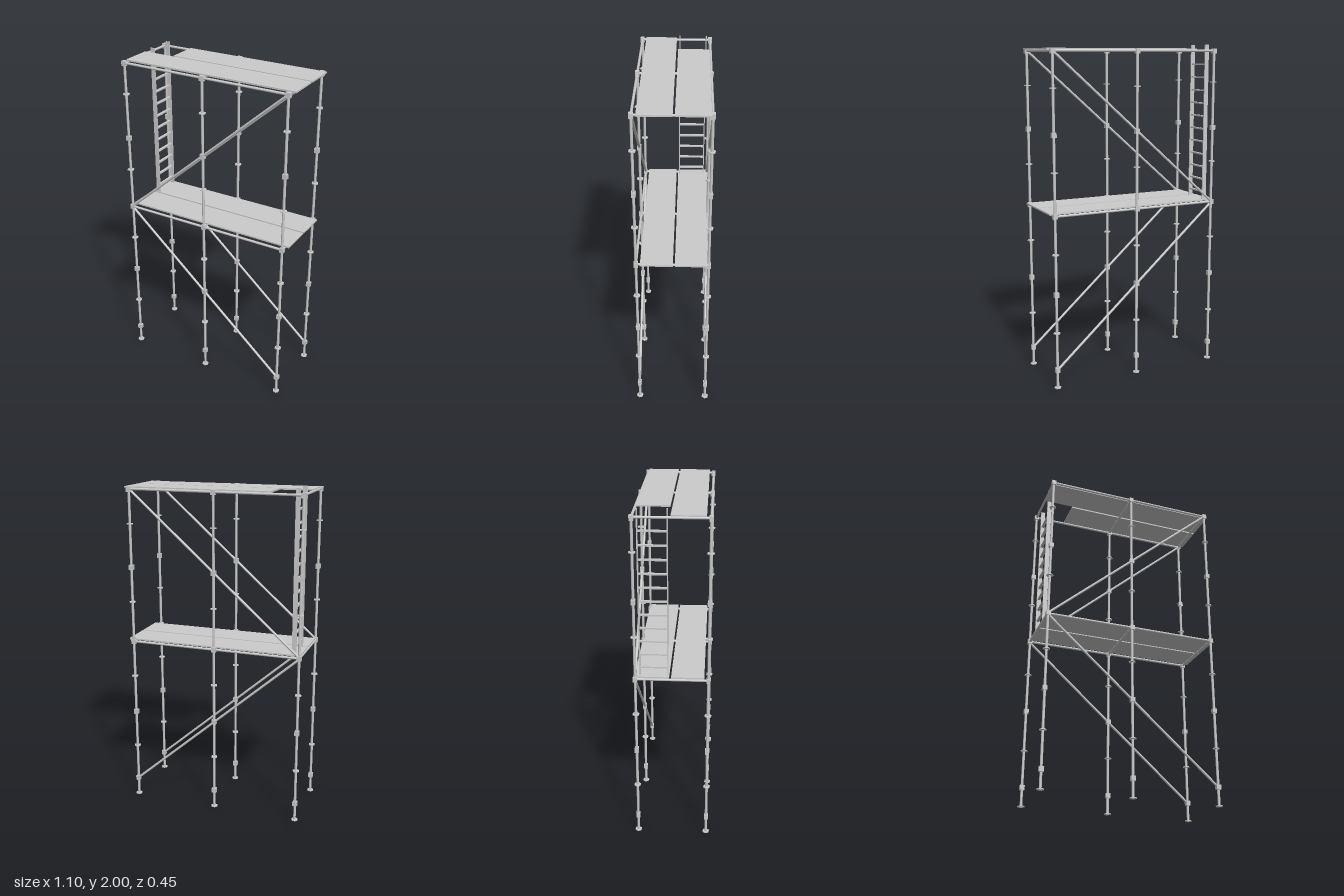
import * as THREE from 'three';

const grey = new THREE.MeshStandardMaterial({ color: 0xcccccc });
const flatGrey = new THREE.MeshStandardMaterial({ color: 0xcccccc, flatShading: true });

const POST_X = [-0.53, -0.008, 0.516];
const POST_Z = [0.205, -0.205];
const LEVELS = [1.04, 1.965];

export function createModel() {
  const model = new THREE.Group();
  model.name = 'scaffold';

  const box = (parent, name, w, h, d, x, y, z) => {
    const m = new THREE.Mesh(new THREE.BoxGeometry(w, h, d), grey);
    m.name = name;
    m.position.set(x, y, z);
    parent.add(m);
    return m;
  };

  // Round tube between two points
  const tube = (parent, name, a, b, r) => {
    const from = new THREE.Vector3(...a), to = new THREE.Vector3(...b);
    const dir = to.clone().sub(from);
    const m = new THREE.Mesh(new THREE.CylinderGeometry(r, r, dir.length(), 12), grey);
    m.name = name;
    m.position.copy(from).add(to).multiplyScalar(0.5);
    m.quaternion.setFromUnitVectors(new THREE.Vector3(0, 1, 0), dir.normalize());
    parent.add(m);
  };

  // Thin six-sided plate around a post
  const plate = (parent, name, y) => {
    const m = new THREE.Mesh(new THREE.CylinderGeometry(0.021, 0.021, 0.006, 6), flatGrey);
    m.name = name;
    m.position.y = y;
    m.rotation.y = 0.35;
    parent.add(m);
  };

  // Posts with base plates, couplers and joint flanges
  POST_X.forEach((x, i) => {
    const flanges = i === 0 ? [0.333, 0.815, 1.295, 1.778] : [0.344, 0.815, 1.29, 1.762];
    for (const z of POST_Z) {
      const post = new THREE.Group();
      post.name = 'post';
      post.position.set(x, 0, z);
      tube(post, 'postTube', [0, 0, 0], [0, 1.975, 0], 0.008);
      plate(post, 'basePlate', 0.006);
      flanges.forEach(y => plate(post, 'flange', y));
      for (const y of [0.115, 0.577, 1.04, 1.502, 1.963]) {
        box(post, 'coupler', 0.027, 0.029, 0.024, 0, y, 0);
      }
      model.add(post);
    }
  });

  // Horizontal tubes along and across each level
  for (const y of LEVELS) {
    for (const z of POST_Z) {
      tube(model, 'ledger', [POST_X[0], y, z], [POST_X[2], y, z], 0.0075);
    }
    for (const x of POST_X) {
      tube(model, 'crossTube', [x, y, POST_Z[0]], [x, y, POST_Z[1]], 0.0075);
    }
  }

  // Diagonal braces on both long sides
  for (const z of POST_Z) {
    tube(model, 'lowerBrace', [POST_X[0], 1.035, z], [POST_X[2], 0.115, z], 0.0075);
    tube(model, 'upperBrace', [POST_X[0], 1.045, z], [POST_X[2], 1.965, z], 0.0075);
  }

  // Deck boards: the upper rear one is shortened to leave a ladder opening
  const deck = (x0, y, z0, z1) =>
    box(model, 'deckBoard', 0.547 - x0, 0.009, z1 - z0, (x0 + 0.547) / 2, y, (z0 + z1) / 2);
  LEVELS.forEach((level, i) => {
    const y = level + 0.0125 - i * 0.003;
    deck(-0.533, y, -0.004, 0.181);
    deck(i ? -0.34 : -0.533, y, -0.199, -0.015);
  });

  // Ladder from the lower deck through the opening
  const ladder = new THREE.Group();
  ladder.name = 'ladder';
  ladder.position.x = -0.493;
  for (const z of [-0.023, -0.181]) {
    box(ladder, 'ladderRail', 0.027, 0.943, 0.006, 0, 1.5285, z);
  }
  for (let i = 0; i < 11; i++) {
    box(ladder, 'ladderRung', 0.016, 0.009, 0.156, 0, 1.1 + i * 0.0783, -0.102);
  }
  model.add(ladder);

  return model;
}
